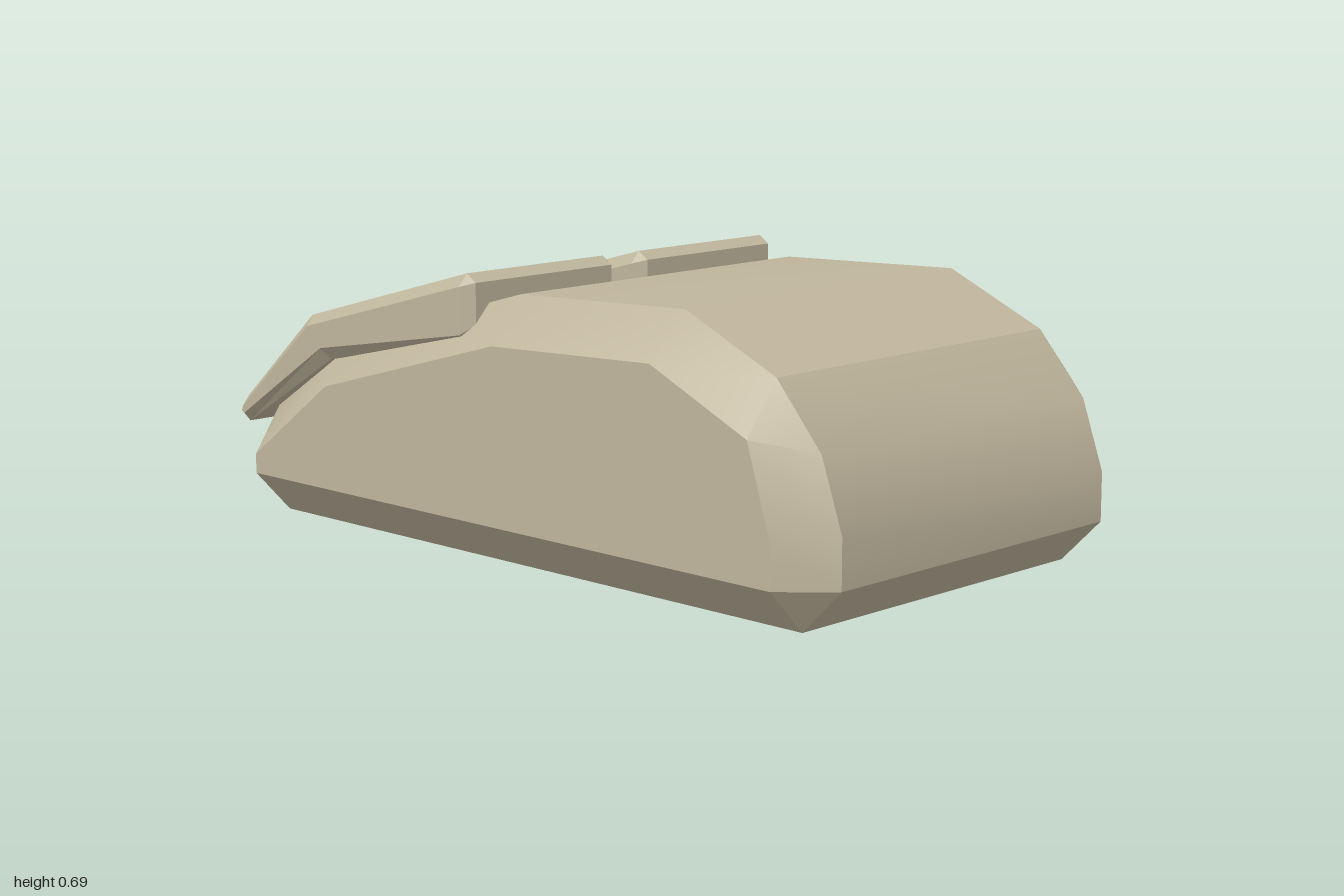
import * as THREE from 'three';
import { toCreasedNormals } from 'three/addons/utils/BufferGeometryUtils.js';

// Chamfered slab: each row is [outer x, outer y, side x, side y], counter-clockwise.
// The outer profile spans +-zIn, the smaller side faces sit at +-zOut.
function chamferedSlab(rows, zIn, zOut, crease) {
  const outer = rows.map(r => new THREE.Vector2(r[0], r[1]));
  const side = rows.map(r => new THREE.Vector2(r[2], r[3]));
  const at = (ring, z) => ring.map(p => new THREE.Vector3(p.x, p.y, z));
  const rings = [at(side, -zOut), at(outer, -zIn), at(outer, zIn), at(side, zOut)];
  const positions = [];
  const tri = (a, b, c) => {
    if (a.equals(b) || b.equals(c) || a.equals(c)) return;
    for (const p of [a, b, c]) positions.push(p.x, p.y, p.z);
  };

  // chamfers and main surface
  for (let k = 0; k < 3; k++) {
    for (let i = 0; i < rows.length; i++) {
      const j = (i + 1) % rows.length;
      const [a, b, c, d] = [rings[k][i], rings[k][j], rings[k + 1][j], rings[k + 1][i]];
      tri(a, b, c);
      tri(a, c, d);
    }
  }

  // flat side faces, without the repeated corners
  const cap = side.filter((p, i) => !p.equals(side[(i + 1) % side.length]));
  const front = at(cap, zOut), back = at(cap, -zOut);
  for (const [a, b, c] of THREE.ShapeUtils.triangulateShape(cap, [])) {
    tri(front[a], front[b], front[c]);
    tri(back[a], back[c], back[b]);
  }

  const geometry = new THREE.BufferGeometry();
  geometry.setAttribute('position', new THREE.Float32BufferAttribute(positions, 3));
  return toCreasedNormals(geometry, crease);
}

export function createModel() {
  const model = new THREE.Group();
  model.name = 'computerMouse';
  const beige = new THREE.MeshStandardMaterial({ color: 0xc0b69d });
  beige.name = 'beige plastic';

  // domed shell with chamfered base
  const bodyRows = [
    [-0.875, 0, -0.875, 0.11],
    [0.89, 0, 0.89, 0.11],
    [1, 0.11, 0.89, 0.11],
    [1, 0.23, 0.89, 0.21],
    [0.94, 0.4, 0.82, 0.43],
    [0.81, 0.55, 0.82, 0.43],
    [0.54, 0.67, 0.53, 0.56],
    [0.01, 0.65, 0.02, 0.54],
    [-0.63, 0.47, -0.59, 0.37],
    [-0.9, 0.28, -0.875, 0.16],
    [-0.98, 0.11, -0.875, 0.11],
  ];
  const body = new THREE.Mesh(chamferedSlab(bodyRows, 0.47, 0.575, 0.4), beige);
  body.name = 'body';
  model.add(body);

  // two bent click buttons, overhanging the nose
  const buttonRows = [
    [-0.975, 0.225, -0.965, 0.25],
    [-0.64, 0.425, -0.65, 0.455],
    [-0.13, 0.53, -0.13, 0.545],
    [-0.1, 0.57, -0.13, 0.545],
    [-0.1, 0.67, -0.13, 0.66],
    [-0.13, 0.69, -0.13, 0.66],
    [-0.71, 0.53, -0.7, 0.505],
    [-0.98, 0.29, -0.97, 0.268],
    [-1, 0.245, -0.975, 0.255],
  ];
  const buttonGeometry = chamferedSlab(buttonRows, 0.225, 0.252, 0.2);
  for (const s of [1, -1]) {
    const button = new THREE.Mesh(buttonGeometry, beige);
    button.name = s > 0 ? 'frontButton' : 'backButton';
    button.position.z = s * 0.288;
    model.add(button);
  }
  return model;
}
